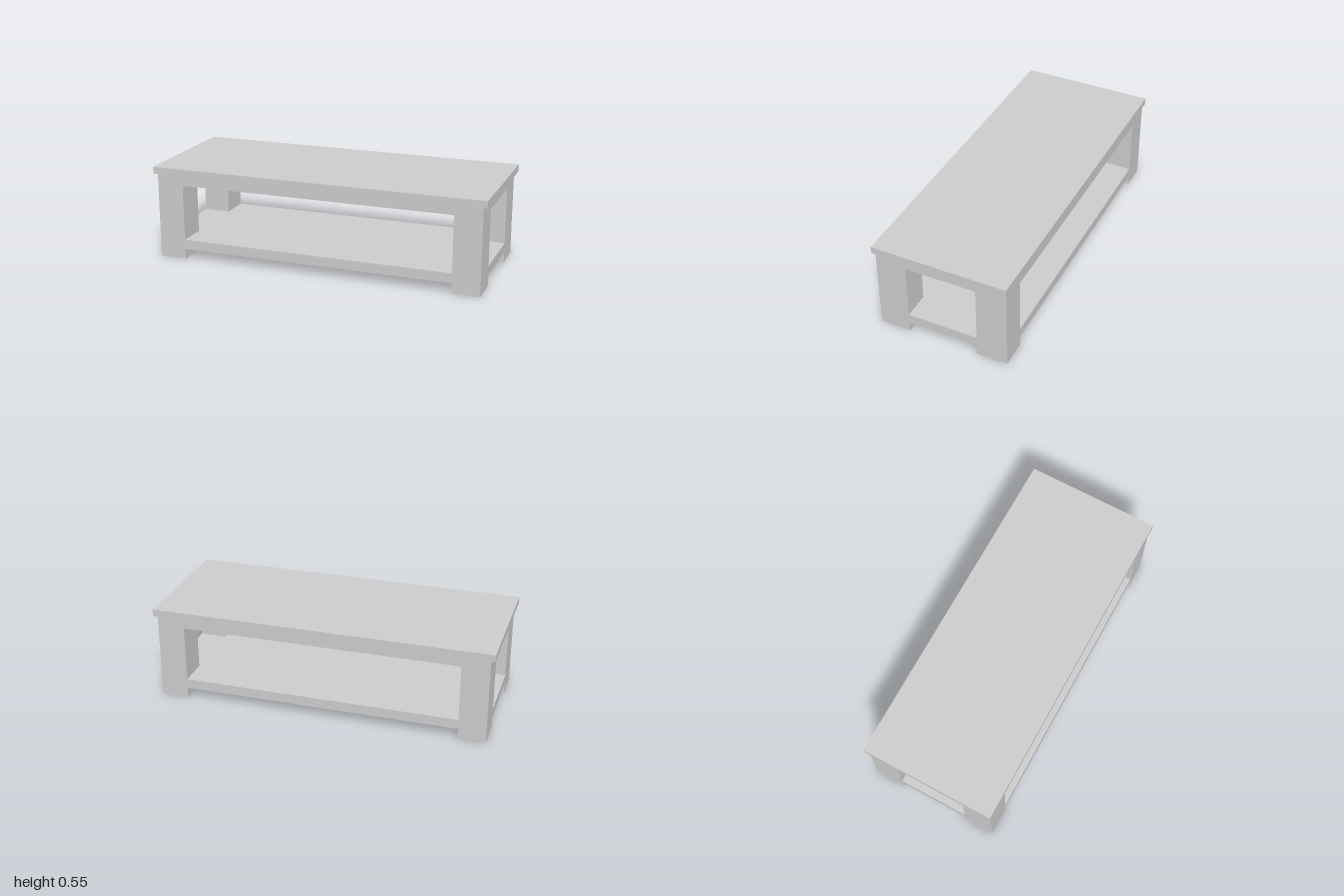
import * as THREE from 'three';

// Outer and inner half extents of the legs
const OX = 0.976, OZ = 0.39, IX = 0.815, IZ = 0.209;
const TOP_Y = 0.51;

export function createModel() {
  const group = new THREE.Group();
  const material = new THREE.MeshStandardMaterial({ color: 0xcccccc, flatShading: true });

  const add = (name, geometry, x, y, z) => {
    const mesh = new THREE.Mesh(geometry, material);
    mesh.name = name;
    mesh.position.set(x, y, z);
    group.add(mesh);
  };

  // Slab with its corners notched so it fits flush around the legs
  const outline = new THREE.Shape([
    [IX, -OZ], [IX, -IZ], [OX, -IZ], [OX, IZ], [IX, IZ], [IX, OZ],
    [-IX, OZ], [-IX, IZ], [-OX, IZ], [-OX, -IZ], [-IX, -IZ], [-IX, -OZ],
  ].map(([x, z]) => new THREE.Vector2(x, z)));
  const notchedSlab = (height) =>
    new THREE.ExtrudeGeometry(outline, { depth: height, bevelEnabled: false }).rotateX(-Math.PI / 2);

  // Overhanging table top
  add('tableTop', new THREE.BoxGeometry(2, 0.041, 0.8), 0, TOP_Y + 0.0205, 0);

  // Under-top slab and lower shelf
  add('underTop', notchedSlab(TOP_Y - 0.451), 0, 0.451, 0);
  add('lowerShelf', notchedSlab(0.058), 0, 0.06, 0);

  // Four corner legs
  const leg = new THREE.BoxGeometry(OX - IX, TOP_Y, OZ - IZ);
  for (const [sideName, sx] of [['Left', 1], ['Right', -1]]) {
    for (const [endName, sz] of [['front', 1], ['back', -1]]) {
      add(`${endName}${sideName}Leg`, leg, sx * (OX + IX) / 2, TOP_Y / 2, sz * (OZ + IZ) / 2);
    }
  }

  return group;
}
